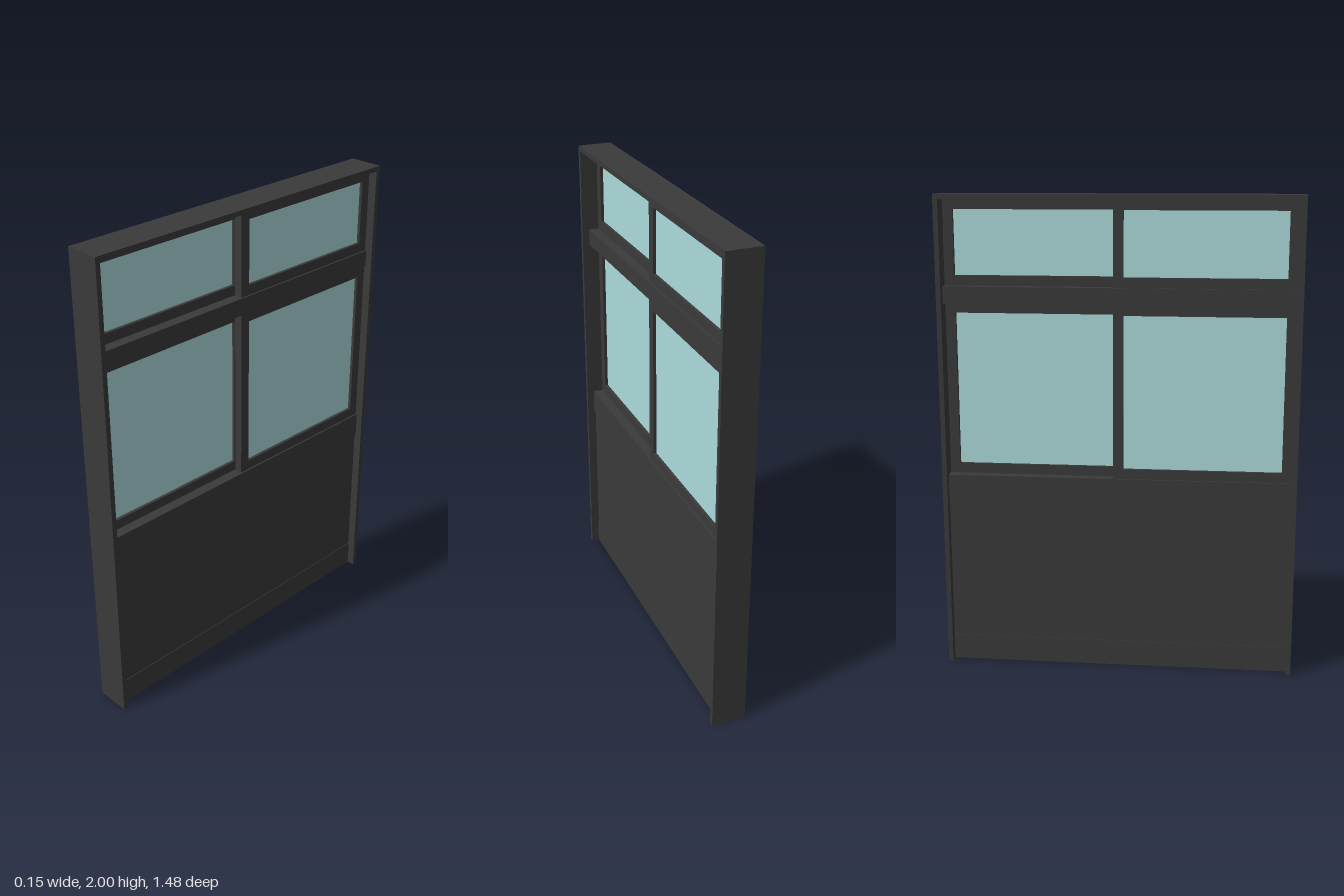
import * as THREE from 'three';

const frameMat = new THREE.MeshStandardMaterial({ color: 0x3a3a3a });
const glassMat = new THREE.MeshStandardMaterial({ color: 0xaedcdd });

// Box given by its limits on each axis
function block(name, [x0, x1], [y0, y1], [z0, z1], material = frameMat) {
  const mesh = new THREE.Mesh(new THREE.BoxGeometry(x1 - x0, y1 - y0, z1 - z0), material);
  mesh.position.set((x0 + x1) / 2, (y0 + y1) / 2, (z0 + z1) / 2);
  mesh.name = name;
  return mesh;
}

// Sliding sash: a rectangular frame with a bar width of 0.04, and its pane
function sash(name, y0, y1) {
  const group = new THREE.Group();
  group.name = name;
  const bar = 0.042, z0 = -0.72, z1 = 0.02, depth = [0.001, 0.036];
  const inner = [y0 + bar, y1 - bar];
  group.add(
    block('sashBottomRail', depth, [y0, y0 + bar], [z0, z1]),
    block('sashTopRail', depth, [y1 - bar, y1], [z0, z1]),
    block('sashOuterStile', depth, inner, [z0, z0 + bar]),
    block('sashMeetingStile', depth, inner, [z1 - bar, z1]),
    block('glassPane', [0.014, 0.023], inner, [z0 + bar, z1 - bar], glassMat)
  );
  return group;
}

export function createModel() {
  const model = new THREE.Group();
  model.name = 'partitionWindow';
  const width = [-0.72, 0.72], deep = [-0.073, 0.073];
  const railDepth = [-0.043, 0.043];

  // Outer surround, open at the foot
  model.add(
    block('leftJamb', deep, [0, 1.98], [0.72, 0.74]),
    block('rightJamb', deep, [0, 1.98], [-0.74, -0.72]),
    block('head', deep, [1.98, 2], [-0.74, 0.74])
  );

  // Solid lower part and cross rails
  model.add(
    block('plinth', [-0.039, 0.039], [0, 0.11], width),
    block('lowerPanel', [-0.036, 0.036], [0.11, 0.73], width),
    block('sillRail', railDepth, [0.73, 0.835], width),
    block('transom', railDepth, [1.56, 1.63], width)
  );

  // Each opening has two overlapping sashes, on opposite tracks
  for (const [name, y0, y1] of [['lowerSash', 0.835, 1.56], ['upperSash', 1.63, 1.98]]) {
    const outer = sash(name + 'Outer', y0, y1);
    const innerSash = sash(name + 'Inner', y0, y1);
    innerSash.rotation.y = Math.PI;
    model.add(outer, innerSash);
  }
  return model;
}
